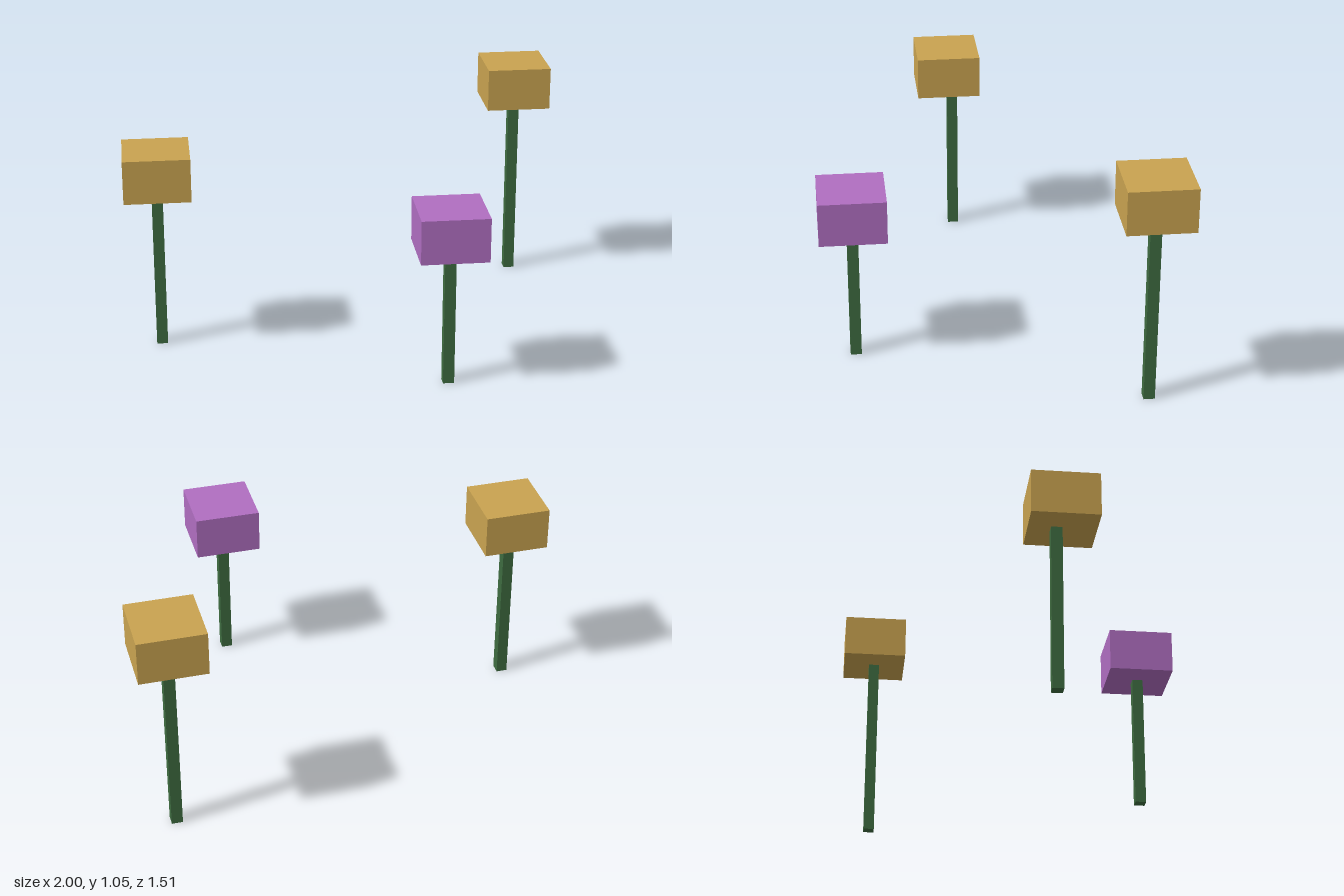
import * as THREE from 'three';

export function createModel() {
  const model = new THREE.Group();
  model.name = 'flowers';

  const mat = (name, color) => {
    const m = new THREE.MeshStandardMaterial({ color });
    m.name = name;
    return m;
  };
  const green = mat('stem green', 0x3e6b40);
  const gold = mat('golden yellow', 0xc9a350);
  const purple = mat('purple', 0xb06ec1);

  const HEAD = 0.292, HEAD_HEIGHT = 0.195, STEM = 0.0487;

  // One flower: a square stem carrying a block-shaped bloom
  function flower(name, x, z, stemHeight, color, bloomShift = 0) {
    const group = new THREE.Group();
    group.name = name;
    group.position.set(x, 0, z);

    const stem = new THREE.Mesh(new THREE.BoxGeometry(STEM, stemHeight, STEM), green);
    stem.name = 'stem';
    stem.position.y = stemHeight / 2;

    const bloom = new THREE.Mesh(new THREE.BoxGeometry(HEAD, HEAD_HEIGHT, HEAD), color);
    bloom.name = 'bloom';
    bloom.position.set(0, stemHeight + HEAD_HEIGHT / 2, bloomShift);

    group.add(stem, bloom);
    model.add(group);
  }

  flower('rightFlower', -0.854, 0.075, 0.733, gold, 0.025); // bloom sits slightly forward
  flower('frontFlower', 0.363, 0.611, 0.611, purple);
  flower('leftFlower', 0.854, -0.611, 0.855, gold);

  return model;
}
